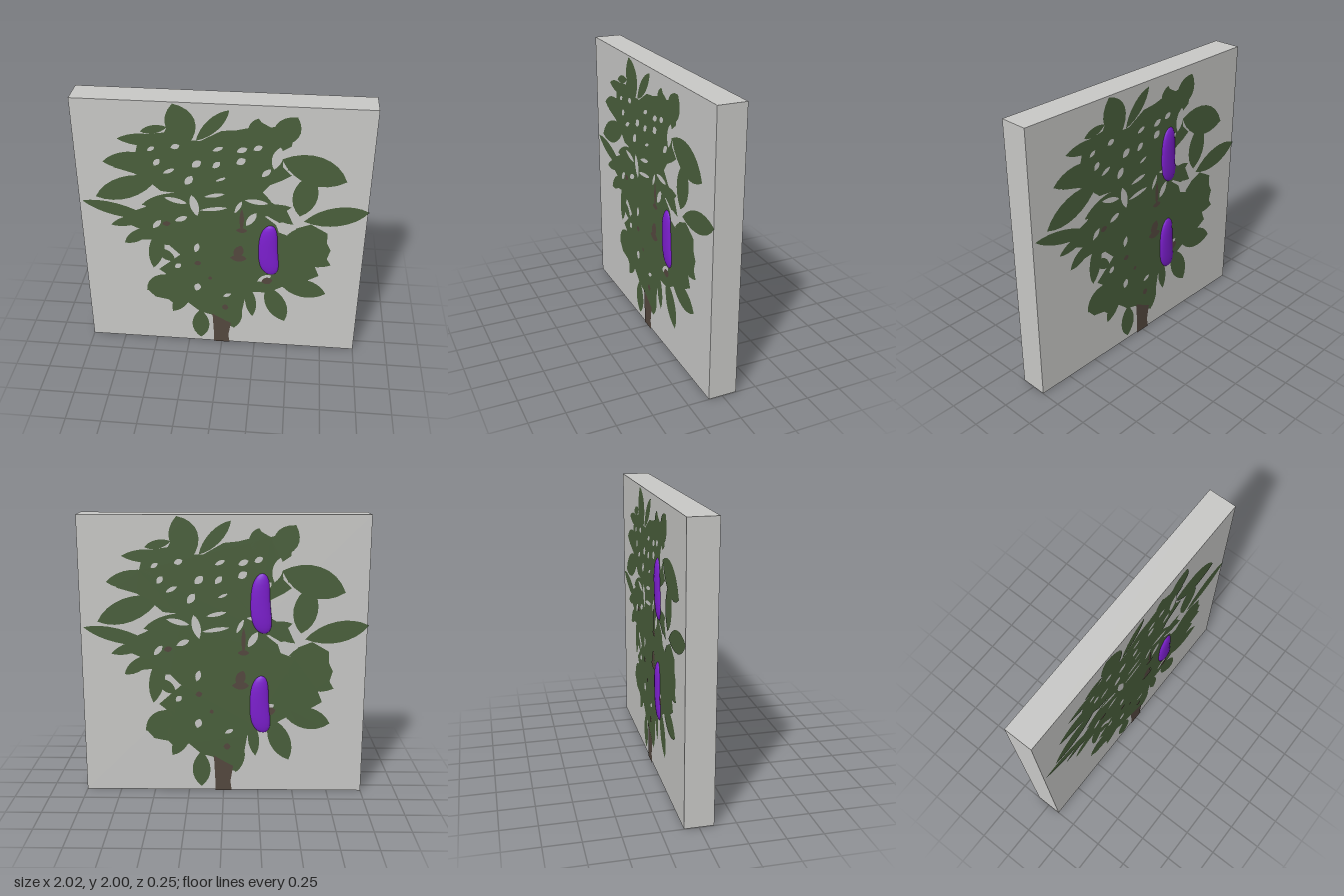
import * as THREE from 'three';

const mat = (name, color) => Object.assign(new THREE.MeshStandardMaterial({ color }), { name });

// Outlines are given in hundredths of a unit.
const polygon = (p) => {
  const pts = [];
  for (let i = 0; i < p.length; i += 2) pts.push(new THREE.Vector2(p[i] / 100, p[i + 1] / 100));
  return new THREE.Shape(pts);
};

// Pointed leaf from base to tip, w wide at its middle.
const leaf = ([x0, y0, x1, y1, w]) => {
  const a = new THREE.Vector2(x0, y0).divideScalar(100);
  const b = new THREE.Vector2(x1, y1).divideScalar(100);
  const d = b.clone().sub(a);
  const n = new THREE.Vector2(-d.y, d.x).normalize().multiplyScalar(w / 150);
  const at = (t, s) => a.clone().addScaledVector(d, t).addScaledVector(n, s);
  const p = at(0.3, 1), q = at(0.75, 1), r = at(0.75, -1), s = at(0.3, -1);
  const shape = new THREE.Shape().moveTo(a.x, a.y);
  shape.bezierCurveTo(p.x, p.y, q.x, q.y, b.x, b.y);
  shape.bezierCurveTo(r.x, r.y, s.x, s.y, a.x, a.y);
  return shape;
};

const CANOPY = [
  -56, 170, -52, 176, -38, 178, -35, 184, -20, 173, -14, 173, 0, 181, 10, 182, 18, 184, 23, 190,
  32, 185, 40, 187, 47, 180, 46, 172, 40, 168, 41, 156, 47, 150, 41, 146, 33, 142, 28, 136,
  34, 129, 24, 126, 44, 124, 49, 113, 40, 112, 30, 118, 24, 110, -60, 104, -70, 112, -54, 119,
  -46, 126, -32, 132, -42, 133, -50, 140, -60, 146, -74, 150, -68, 158, -58, 162,
];
const BUSH = [
  -70, 112, -66, 104, -57, 100, -60, 91, -50, 92, -44, 88, -38, 88, -30, 80, -38, 73, -46, 66,
  -41, 62, -50, 53, -55, 46, -50, 40, -40, 38, -34, 32, -25, 36, -16, 28, -8, 26, 0, 18, 8, 15,
  14, 24, 17, 42, 22, 50, 34, 50, 44, 56, 60, 62, 70, 68, 66, 78, 76, 78, 75, 84, 77, 91, 74, 97,
  74, 105, 62, 112, 52, 108, 50, 100, 40, 104, 38, 110, 28, 118, 0, 124, -30, 122, -54, 119,
];
const LEAVES = [
  // crown
  [-22, 170, -32, 199, 20], [-17, 173, 5, 196, 9], [-34, 172, -70, 172, 9], [-36, 182, -54, 178, 6],
  [36, 172, 49, 193, 17], [20, 176, 24, 191, 9],
  // upper right
  [40, 162, 84, 147, 22], [60, 152, 54, 118, 17], [44, 154, 60, 164, 8], [57, 114, 101, 124, 15],
  [18, 134, 50, 111, 10], [16, 118, 48, 125, 9],
  // upper left
  [-44, 158, -81, 154, 13], [-44, 143, -88, 126, 17], [-50, 110, -98, 122, 10], [-20, 131, -56, 121, 10],
  [-50, 112, -79, 103, 8], [-50, 102, -70, 88, 9],
  // lower left
  [-44, 102, -50, 67, 11], [-34, 60, -56, 46, 15], [-24, 48, -37, 27, 10], [-16, 30, -16, 3, 13],
  [-34, 74, -46, 84, 8],
  // lower right
  [20, 54, 23, 27, 8], [33, 56, 47, 24, 15], [42, 60, 76, 52, 16], [10, 42, 9, 14, 12],
  [44, 90, 78, 78, 14], [46, 102, 74, 104, 14],
];
// Openings where the plaque shows between the leaves.
const GAPS = [
  [-20, 153, -14, 158, 5], [-6, 166, 1, 169, 3], [-6, 153, -1, 158, 4], [10, 166, 17, 169, 4],
  [10, 157, 16, 161, 5], [35, 154, 39, 171, 7], [21, 168, 27, 171, 4], [-25, 139, -20, 146, 5],
  [-34, 167, -28, 169, 4], [-50, 164, -45, 167, 3], [-46, 153, -42, 158, 4], [-17, 114, -21, 131, 6],
  [-33, 109, -24, 113, 4], [-49, 102, -43, 109, 4], [-19, 83, -17, 91, 4], [-34, 68, -30, 72, 4],
  [-19, 48, -17, 55, 5], [1, 44, 7, 47, 3], [16, 129, 32, 127, 4], [-15, 119, 4, 122, 3],
  [-12, 130, 2, 133, 3], [17, 108, 24, 119, 5], [-40, 128, -24, 124, 4], [26, 60, 36, 66, 5],
  [9, 118, 14, 128, 3], [-40, 147, -32, 151, 3], [-4, 143, 3, 146, 2], [27, 148, 33, 154, 4],
];
const TRUNK = [-6, 0, 6, 0, 5, 7, 7, 19, 3, 21, -7, 27, -6, 8];
const TWIGS = [
  [14, 103, 14, 122, 3], [10, 104, 18, 104, 4], [6, 80, 18, 80, 6], [10, 80, 14, 91, 7],
  [-20, 73, -15, 74, 4], [-10, 60, -7, 61, 3], [29, 60, 37, 62, 6], [0, 34, 5, 34, 5], [-42, 106, -36, 107, 4],
];

export function createModel() {
  const grey = mat('plaque grey', 0xc9c9c7);
  const green = mat('leaf green', 0x4a603c);
  const brown = mat('bark brown', 0x54483f);
  const purple = mat('fruit purple', 0x7d1fd0);
  const model = new THREE.Group();

  const add = (parent, name, geometry, material, x = 0, y = 0, z = 0) => {
    const mesh = new THREE.Mesh(geometry, material);
    mesh.name = name;
    mesh.position.set(x, y, z);
    parent.add(mesh);
    return mesh;
  };
  const flat = (shapes) => new THREE.ShapeGeometry(shapes, 8);

  add(model, 'plaque', new THREE.BoxGeometry(2, 1.998, 0.2), grey, 0, 1.001, 0);

  // Trunk band wrapping under the plaque
  add(model, 'trunkUnderside', new THREE.PlaneGeometry(0.12, 0.2).rotateX(Math.PI / 2), brown);

  // Plump fruit, rounder at the ends than a ball and bent slightly sideways
  const fruit = new THREE.SphereGeometry(1, 16, 14);
  const p = fruit.attributes.position;
  for (let i = 0; i < p.count; i++) {
    const t = p.getY(i);
    const swell = Math.sqrt(1 + t * t);
    p.setXYZ(i,
      p.getX(i) * swell * (0.069 - 0.008 * t) + 0.02 * t * t - 0.008 * t,
      t * 0.212,
      p.getZ(i) * swell * (0.024 + 0.004 * t));
  }
  fruit.computeVertexNormals();

  // One painted plant per face; the back is the front turned half round
  const side = (name, fruits) => {
    const group = new THREE.Group();
    group.name = name;
    add(group, 'foliage', flat([polygon(CANOPY), polygon(BUSH), ...LEAVES.map(leaf)]), green, 0, 0, 0.102);
    add(group, 'leafGaps', flat(GAPS.map(leaf)), grey, 0, 0, 0.1035);
    add(group, 'trunk', flat(polygon(TRUNK)), brown, 0, 0, 0.105);
    add(group, 'twigs', flat(TWIGS.map(leaf)), brown, 0, 0, 0.105);
    for (const [x, y] of fruits) add(group, 'fruit', fruit, purple, x, y, 0.1);
    model.add(group);
    return group;
  };
  side('frontPlant', [[0.33, 0.88]]);
  side('backPlant', [[0.255, 1.39], [0.255, 0.66]]).rotation.y = Math.PI;

  return model;
}
